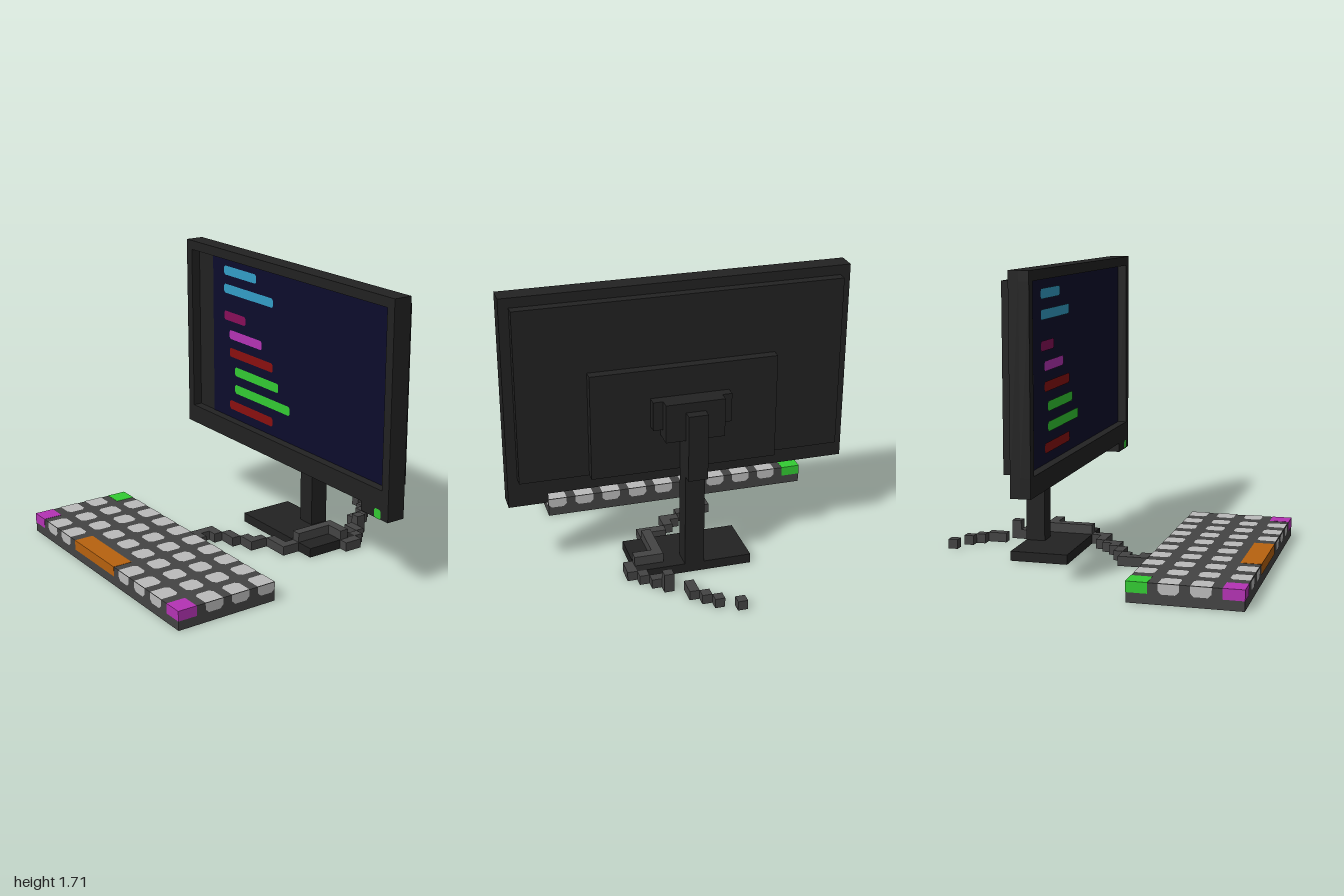
import * as THREE from 'three';

const U = 2 / 35; // size of one block
const LIFT = 0.003; // height of painted faces above their surface
const material = (name, color) => {
  const m = new THREE.MeshStandardMaterial({ color });
  m.name = name;
  return m;
};

export function createModel() {
  const black = material('black plastic', 0x222222);
  const grey = material('dark grey', 0x444444);
  const keyGrey = material('key grey', 0xbbbbbb);
  const green = material('green', 0x33cc33);
  const magenta = material('magenta', 0xb533b5);
  const blue = material('blue', 0x339fc8);
  const red = material('red', 0x8a1010);
  const crimson = material('crimson', 0x880e5a);
  const navy = material('navy', 0x0c0c2c);
  const orange = material('orange', 0xb8620f);

  const model = new THREE.Group();
  const group = (name) => {
    const g = new THREE.Group();
    g.name = name;
    model.add(g);
    return g;
  };
  const add = (parent, name, geometry, mat) => {
    const mesh = new THREE.Mesh(geometry, mat);
    mesh.name = name;
    parent.add(mesh);
    return mesh;
  };

  // Box between block coordinates: x from the right edge, y from the ground, z from the centre
  const box = (parent, name, mat, x0, x1, y0, y1, z0, z1, grow = 0) => {
    const g = new THREE.BoxGeometry((x1 - x0) * U + grow, (y1 - y0) * U + grow, (z1 - z0) * U + grow);
    g.translate(((x0 + x1) / 2 - 17.5) * U, ((y0 + y1) / 2) * U, ((z0 + z1) / 2) * U);
    return add(parent, name, g, mat);
  };

  // Painted face with corners [bottom left, bottom right, top right, top left] cut by given amounts
  const turns = { front: [0, 0], back: [0, Math.PI], left: [0, Math.PI / 2], right: [0, -Math.PI / 2], top: [-Math.PI / 2, 0], bottom: [Math.PI / 2, 0] };
  const face = (parent, name, mat, side, w, h, [x, y, z], cuts = [0, 0, 0, 0]) => {
    const a = w / 2, b = h / 2, [bl, br, tr, tl] = cuts;
    const points = [[-a, -b + bl], [-a + bl, -b], [a - br, -b], [a, -b + br], [a, b - tr], [a - tr, b], [-a + tl, b], [-a, b - tl]];
    const shape = new THREE.Shape(points.map(([px, py]) => new THREE.Vector2(px * U, py * U)));
    const g = new THREE.ShapeGeometry(shape);
    g.translate(0, 0, LIFT).rotateX(turns[side][0]).rotateY(turns[side][1]);
    g.translate((x - 17.5) * U, y * U, z * U);
    return add(parent, name, g, mat);
  };

  // Monitor housing with a recessed screen and stepped back
  const monitor = group('monitor');
  box(monitor, 'housing', black, 0, 35, 9, 30, -5, -4);
  box(monitor, 'bezelBottom', black, 0, 35, 9, 11, -4, -3);
  box(monitor, 'bezelTop', black, 0, 35, 29, 30, -4, -3);
  box(monitor, 'bezelRight', black, 0, 1, 11, 29, -4, -3);
  box(monitor, 'bezelLeft', black, 34, 35, 11, 29, -4, -3);
  box(monitor, 'buttonTab', black, 31, 35, 8, 9, -5, -3);
  box(monitor, 'backPanel', black, 1, 34, 11, 29, -6, -5);
  box(monitor, 'backBulge', black, 8, 27, 11, 22, -7, -6);
  const ledCuts = [0.2, 0.2, 0.2, 0.2];
  face(monitor, 'powerLight', green, 'front', 1, 1, [33.5, 8.5, -3], ledCuts);
  face(monitor, 'powerLightUnderside', green, 'bottom', 1, 1, [33.5, 8, -3.5], ledCuts);

  // Screen with coloured lines
  const screen = group('screen');
  face(screen, 'display', navy, 'front', 30.2, 18, [18.9, 20, -4]);
  const lines = [
    [6, 12, 27, blue], [6, 15, 25, blue], [6, 10, 22, crimson], [7, 13, 20, magenta],
    [7, 15, 18, red], [8, 16, 16, green], [8, 18, 14, green], [7, 15, 12, red],
  ];
  for (const [x0, x1, y, mat] of lines) {
    face(screen, 'screenLine', mat, 'front', x1 - x0, 1, [(x0 + x1) / 2, y + 0.5, -4 + LIFT / U], ledCuts);
  }

  // Stand
  const stand = group('stand');
  box(stand, 'standBase', black, 11, 23, 0, 1, -9, -3);
  box(stand, 'standColumn', black, 16, 18, 1, 19, -9, -7);
  box(stand, 'columnRidge', black, 16, 18, 11, 18, -10, -9);
  box(stand, 'mountBlock', black, 14, 20, 15, 19, -9, -7);
  box(stand, 'mountWings', black, 13, 21, 16, 19, -8, -7);

  // Keyboard body and keys, painted on every exposed side
  const keyboard = group('keyboard');
  box(keyboard, 'keyboardBody', grey, 0, 29, 0, 2, 6, 17);
  const c = 0.35;
  for (let row = 0; row < 4; row++) {
    for (let col = 0; col < 10; col++) {
      const x = col * 3, z = 6 + row * 3;
      const first = col === 0, last = col === 9, back = row === 0, front = row === 3;
      if ((front && (first || last || (col > 2 && col < 6))) || (back && first)) continue;
      const cut = (edge) => (edge ? 0 : c);
      face(keyboard, 'keyTop', keyGrey, 'top', 2, 2, [x + 1, 2, z + 1],
        [cut(first || front), cut(last || front), cut(last || back), cut(first || back)]);
      const lower = [c, c, 0, 0];
      if (front) face(keyboard, 'keyFront', keyGrey, 'front', 2, 1, [x + 1, 1.5, 17], lower);
      if (back) face(keyboard, 'keyBack', keyGrey, 'back', 2, 1, [x + 1, 1.5, 6], lower);
      if (first) face(keyboard, 'keySide', keyGrey, 'right', 2, 1, [0, 1.5, z + 1], lower);
      if (last) face(keyboard, 'keySide', keyGrey, 'left', 2, 1, [29, 1.5, z + 1], lower);
    }
  }
  box(keyboard, 'escapeKey', green, 0, 2, 1, 2, 6, 8, LIFT);
  box(keyboard, 'cornerKeyRight', magenta, 0, 2, 1, 2, 15, 17, LIFT);
  box(keyboard, 'cornerKeyLeft', magenta, 27, 29, 1, 2, 15, 17, LIFT);
  box(keyboard, 'spaceBar', orange, 9, 17, 1, 2, 15, 17, LIFT);

  // Cable from the keyboard, over the stand base and out behind: x0, x1, z0, z1, y0, y1
  const cable = group('cable');
  box(cable, 'cablePlug', black, 12, 14, 0, 1, 5, 6);
  const pieces = [
    [12, 14, 4, 5], [12, 13, 3, 4], [12, 14, 2, 3], [14, 16, 1, 2], [16, 18, 0, 1], [17, 18, -1, 0],
    [18, 21, -2, -1], [20, 21, -3, -2], [20, 21, -7, -3, 1, 2], [20, 23, -8, -7, 1, 2],
    [23, 24, -9, -7], [22, 23, -10, -9], [20, 22, -11, -10], [20, 21, -12, -11, 0, 2],
    [18, 19, -14, -12], [17, 18, -15, -14], [16, 17, -16, -15], [14, 15, -17, -16],
  ];
  for (const [x0, x1, z0, z1, y0 = 0, y1 = 1] of pieces) {
    box(cable, 'cableSegment', grey, x0, x1, y0, y1, z0, z1);
  }
  return model;
}
